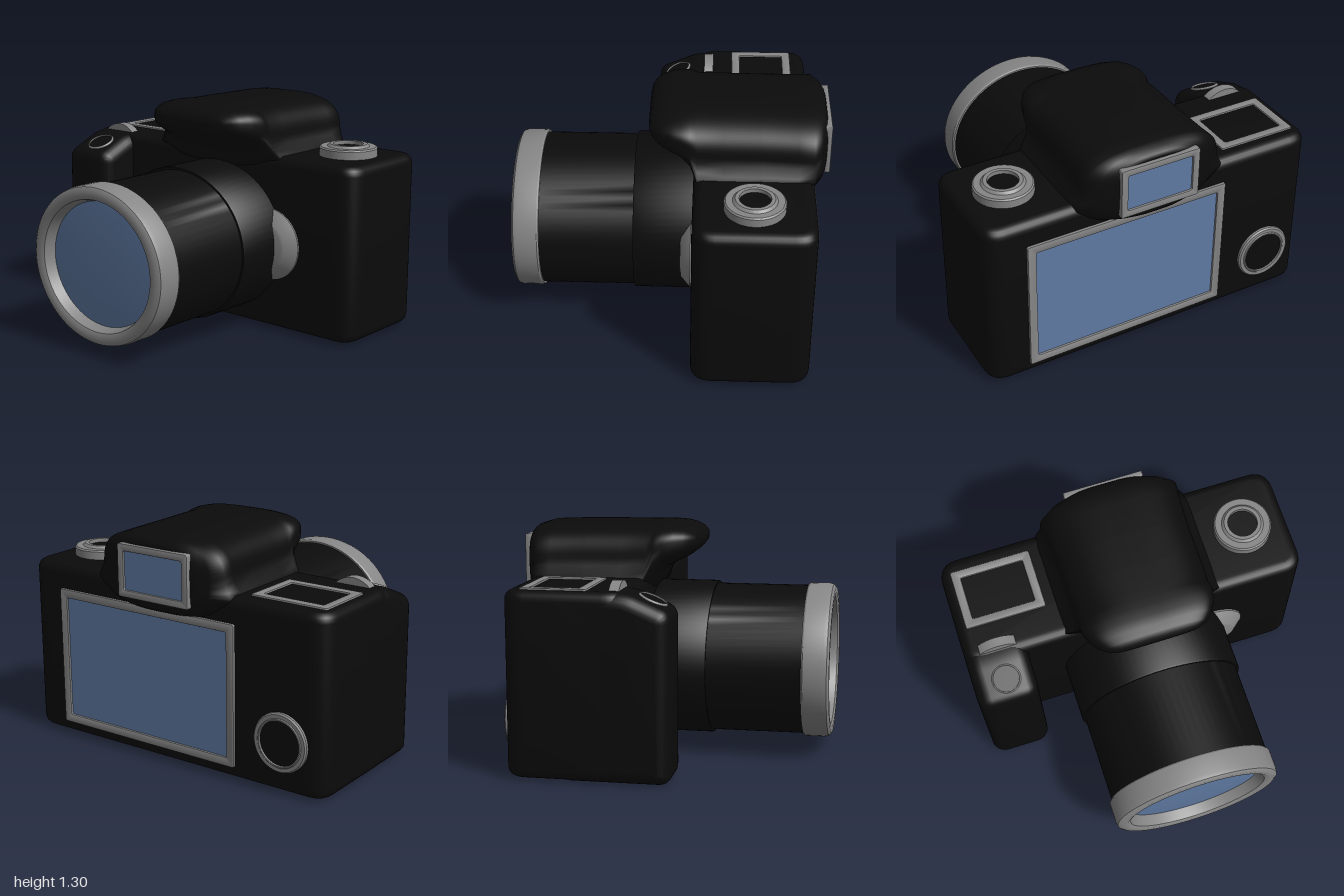
import * as THREE from 'three';
import { toCreasedNormals } from 'three/addons/utils/BufferGeometryUtils.js';

const mat = (name, color, side = THREE.FrontSide) => {
  const m = new THREE.MeshStandardMaterial({ color, side });
  m.name = name;
  return m;
};

export function createModel() {
  const black = mat('black casing', 0x0b0b0b);
  const grey = mat('grey trim', 0x868686);
  const blue = mat('blue glass', 0x607ba4);
  const model = new THREE.Group();
  model.name = 'camera';

  const add = (name, geometry, material, x = 0, y = 0, z = 0, parent = model) => {
    const mesh = new THREE.Mesh(geometry, material);
    mesh.name = name;
    mesh.position.set(x, y, z);
    parent.add(mesh);
    return mesh;
  };
  const crease = (g, angle = 0.6) => toCreasedNormals(g, angle);

  // Rectangle with rounded corners, centred on the origin
  const roundRect = (w, h, r) => {
    const s = new THREE.Shape(), a = w / 2, b = h / 2;
    s.moveTo(-a + r, -b);
    s.lineTo(a - r, -b);
    s.quadraticCurveTo(a, -b, a, -b + r);
    s.lineTo(a, b - r);
    s.quadraticCurveTo(a, b, a - r, b);
    s.lineTo(-a + r, b);
    s.quadraticCurveTo(-a, b, -a, b - r);
    s.lineTo(-a, -b + r);
    s.quadraticCurveTo(-a, -b, -a + r, -b);
    return s;
  };

  // Main body: rounded plan, extruded upward with soft edges
  const bodyGeo = new THREE.ExtrudeGeometry(roundRect(2, 0.66, 0.12), {
    depth: 0.9, bevelSize: 0.055, bevelThickness: 0.055, bevelOffset: -0.055, bevelSegments: 5, curveSegments: 10,
  });
  bodyGeo.rotateX(-Math.PI / 2);
  add('body', crease(bodyGeo), black, 0, 0.065, -0.46);

  // Hand grip: side profile with sloping top, extruded sideways
  const grip = new THREE.Shape();
  grip.moveTo(-0.45, 0);
  grip.lineTo(0.03, 0);
  grip.quadraticCurveTo(0.105, 0, 0.105, 0.06);
  grip.lineTo(0.105, 0.86);
  grip.quadraticCurveTo(0.105, 0.92, 0.05, 0.94);
  grip.lineTo(-0.08, 0.995);
  grip.quadraticCurveTo(-0.13, 1.017, -0.2, 1.017);
  grip.lineTo(-0.45, 1.017);
  grip.closePath();
  const gripGeo = new THREE.ExtrudeGeometry(grip, {
    depth: 0.19, bevelSize: 0.075, bevelThickness: 0.08, bevelOffset: -0.075, bevelSegments: 6, curveSegments: 8,
  });
  gripGeo.rotateY(-Math.PI / 2);
  add('grip', crease(gripGeo), black, -0.73, 0, 0);

  // Viewfinder hump: rounded cross-sections from back to front [z, half width, bottom, top, flare]
  const sections = [
    [-0.862, 0.23, 0.92, 1.24, 0], [-0.855, 0.26, 0.895, 1.26, 0], [-0.83, 0.34, 0.88, 1.28, 0],
    [-0.785, 0.41, 0.86, 1.292, 0.04], [-0.7, 0.4, 0.85, 1.298, 0.07], [-0.5, 0.39, 0.85, 1.302, 0.08],
    [-0.3, 0.39, 0.85, 1.305, 0.08], [-0.15, 0.385, 0.87, 1.305, 0.08], [-0.11, 0.385, 1.0, 1.305, 0.03],
    [-0.06, 0.38, 1.055, 1.304, 0], [0, 0.36, 1.085, 1.3, 0], [0.05, 0.33, 1.11, 1.288, 0],
    [0.09, 0.29, 1.14, 1.268, 0], [0.112, 0.24, 1.165, 1.245, 0], [0.12, 0.17, 1.19, 1.22, 0],
  ];
  const N = 80, pos = [], idx = [];
  const bulge = (v) => Math.sign(v) * Math.abs(v) ** (2 / 3);
  sections.forEach(([z, w, lo, hi, flare]) => {
    for (let i = 0; i < N; i++) {
      const a = (i / N) * Math.PI * 2;
      const y = (lo + hi) / 2 + ((hi - lo) / 2) * bulge(Math.sin(a));
      const c = Math.cos(a);
      const spread = flare * Math.exp(-(((y - 1) / 0.05) ** 2)) * Math.sign(c) * Math.min(1, Math.abs(c) * 3);
      pos.push(0.035 + w * bulge(c) + spread, y, z);
    }
  });
  for (let s = 0; s < sections.length - 1; s++) {
    for (let i = 0; i < N; i++) {
      const a = s * N + i, b = s * N + ((i + 1) % N);
      idx.push(a, b, a + N, b, b + N, a + N);
    }
  }
  const last = (sections.length - 1) * N;
  for (let i = 1; i < N - 1; i++) {
    idx.push(0, i + 1, i);
    idx.push(last, last + i, last + i + 1);
  }
  const hump = new THREE.BufferGeometry();
  hump.setAttribute('position', new THREE.Float32BufferAttribute(pos, 3));
  hump.setIndex(idx);
  hump.computeVertexNormals();
  add('viewfinderHump', hump, black);

  // Lens: slightly flattened turned parts along z
  const lens = new THREE.Group();
  lens.name = 'lens';
  lens.position.set(0.035, 0.51, 0);
  lens.scale.y = 0.91;
  model.add(lens);
  const turned = (name, pts, material, parent) => {
    const g = new THREE.LatheGeometry(pts.map(([r, z]) => new THREE.Vector2(r, z)), 72);
    g.rotateX(Math.PI / 2);
    return add(name, crease(g), material, 0, 0, 0, parent);
  };
  turned('lensBarrel', [[0.487, -0.2], [0.487, 0.195], [0.482, 0.203], [0.47, 0.203], [0.47, 0.74]], black, lens);
  turned('lensRing', [
    [0.46, 0.73], [0.48, 0.73], [0.487, 0.74], [0.487, 0.85], [0.48, 0.872], [0.46, 0.885],
    [0.425, 0.885], [0.405, 0.875], [0.395, 0.85], [0.38, 0.8],
  ], grey, lens);
  turned('lensGlass', [[0.392, 0.812], [0.3, 0.818], [0.15, 0.822], [0, 0.823]], blue, lens);

  // Lens release knob on the front face
  const release = new THREE.Group();
  release.name = 'lensRelease';
  release.position.set(0.435, 0.51, -0.13);
  model.add(release);
  turned('releaseKnob', [[0.21, -0.01], [0.21, 0.01], [0.15, 0.062], [0.13, 0.068], [0, 0.068]], grey, release);

  // Round control: grey ring with a black centre, facing +z
  const roundControl = (name, radius, inner, h, lip) => {
    const g = new THREE.Group();
    g.name = name;
    turned(name + 'Ring', [
      [radius, -0.02], [radius, h - 0.008], [radius - 0.008, h], [inner + lip, h],
      [inner + lip * 0.6, h + lip * 0.4], [inner, h + lip * 0.4], [inner, h - 0.012],
    ], grey, g);
    turned(name + 'Centre', [[inner + 0.002, h - 0.008], [0, h - 0.008]], black, g);
    model.add(g);
    return g;
  };
  const dial = roundControl('modeDial', 0.165, 0.085, 0.055, 0.035);
  dial.rotation.x = -Math.PI / 2;
  dial.position.set(0.735, 1.018, -0.46);

  const shutter = roundControl('shutterButton', 0.082, 0.072, 0.02, 0.004);
  shutter.rotation.x = -Math.PI / 2 + 0.4;
  shutter.position.set(-0.81, 0.957, -0.015);

  const pad = roundControl('rearPad', 0.165, 0.125, 0.022, 0.012);
  pad.rotation.y = Math.PI;
  pad.position.set(-0.735, 0.295, -0.79);

  // Control wheel, half sunk into the top of the grip
  const wheel = new THREE.CylinderGeometry(0.15, 0.15, 0.055, 48);
  wheel.rotateX(Math.PI / 2);
  add('controlWheel', crease(wheel), grey, -0.805, 0.913, -0.2);

  // Framed panel facing +z: bevelled rim with a recessed pane
  const panel = (name, w, h, rim, depth, pane) => {
    const g = new THREE.Group();
    g.name = name;
    const shape = roundRect(w, h, 0.012);
    shape.holes.push(roundRect(w - 2 * rim, h - 2 * rim, 0.01));
    const frame = new THREE.ExtrudeGeometry(shape, {
      depth: depth - 0.006, bevelSize: 0.006, bevelThickness: 0.006, bevelOffset: -0.006, bevelSegments: 2, curveSegments: 4,
    });
    add(name + 'Frame', crease(frame), grey, 0, 0, 0, g);
    add(name + 'Pane', new THREE.BoxGeometry(w - rim, h - rim, 0.008), pane, 0, 0, depth - 0.016, g);
    model.add(g);
    return g;
  };
  const screen = panel('rearScreen', 1.21, 0.8, 0.05, 0.025, blue);
  screen.rotation.y = Math.PI;
  screen.position.set(0.165, 0.48, -0.78);

  const eyepiece = panel('eyepiece', 0.47, 0.295, 0.04, 0.035, blue);
  eyepiece.rotation.y = Math.PI;
  eyepiece.position.set(0.03, 1.085, -0.85);

  const display = panel('topDisplay', 0.465, 0.36, 0.05, 0.025, black);
  display.rotation.x = -Math.PI / 2;
  display.position.set(-0.71, 1.005, -0.52);

  return model;
}
